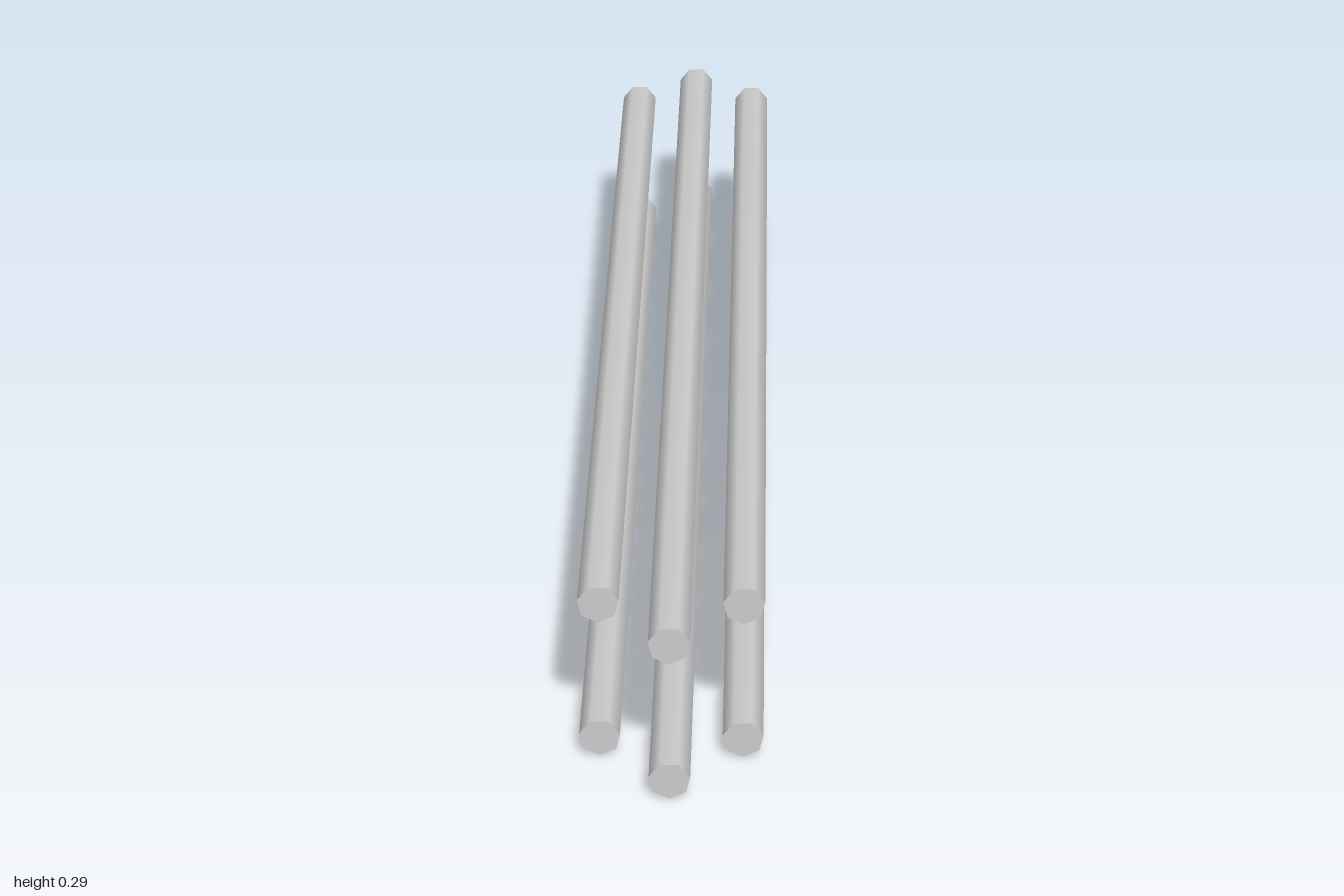
import * as THREE from 'three';

// Two tiers of three parallel seven-sided bars, the middle one longer
export function createModel() {
  const group = new THREE.Group();
  const material = new THREE.MeshStandardMaterial({ color: 0xcccccc });
  const radius = 0.0307;

  // Bar along z, with one corner pointing straight down
  const barGeometry = (length) =>
    new THREE.CylinderGeometry(radius, radius, length, 7).rotateX(Math.PI / 2);
  const longBar = barGeometry(2);
  const shortBar = barGeometry(1.803);

  const addBar = (name, geometry, x, y, z) => {
    const bar = new THREE.Mesh(geometry, material);
    bar.name = name;
    bar.position.set(x, y, z);
    group.add(bar);
  };

  for (const [tier, y] of [['lower', radius], ['upper', radius + 0.2285]]) {
    addBar(`${tier}MiddleBar`, longBar, 0, y, 0);
    // Shorter outer bars, set slightly back
    addBar(`${tier}LeftBar`, shortBar, 0.105, y + 0.001, -0.009);
    addBar(`${tier}RightBar`, shortBar, -0.105, y + 0.001, -0.009);
  }
  return group;
}
